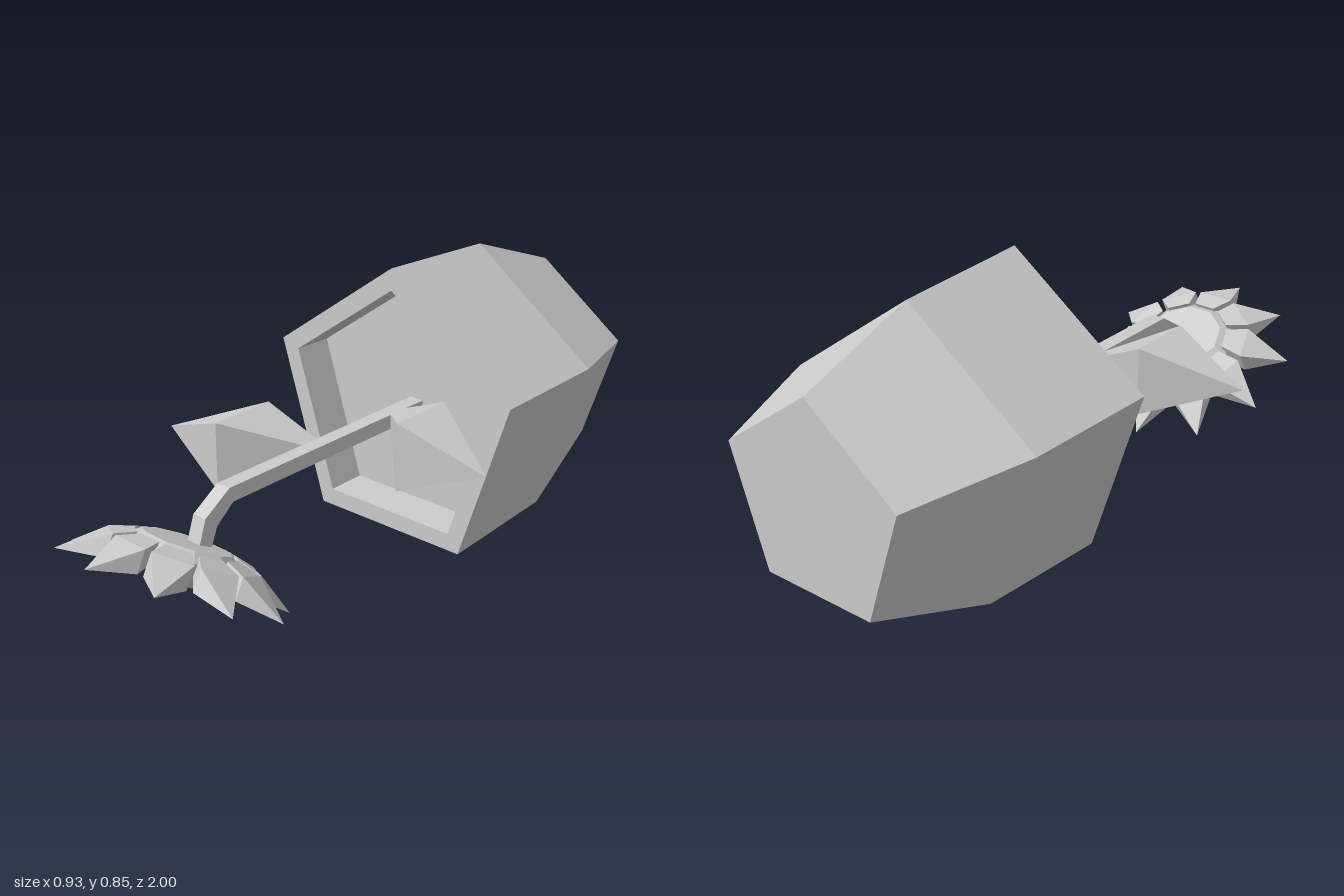
import * as THREE from 'three';
import { ConvexGeometry } from 'three/addons/geometries/ConvexGeometry.js';

const material = new THREE.MeshStandardMaterial({ color: 0xcccccc, flatShading: true });

function part(name, geometry) {
  const mesh = new THREE.Mesh(geometry, material);
  mesh.name = name;
  return mesh;
}

// Faceted turned shape from [radius, height] pairs
function turned(profile, sides, phase) {
  const points = profile.map(([r, h]) => new THREE.Vector2(r, h));
  return new THREE.LatheGeometry(points, sides, phase);
}

// Four corners of a rectangle at distance r, between +-w in x and d0..d1 in y
function petalSection(r, w, d0, d1) {
  return [[-w, d0], [w, d0], [w, d1], [-w, d1]].map(([x, y]) => new THREE.Vector3(x, y, r));
}

// Leaf on one side of the stem: narrow root, square middle, pointed tip
function leaf(name, side, z) {
  const section = (x, y0, y1, z0, z1) =>
    [[y0, z0], [y0, z1], [y1, z1], [y1, z0]].map(([y, dz]) => new THREE.Vector3(side * x, y, z + dz));
  return part(name, new ConvexGeometry([
    ...section(0.02, 0.352, 0.398, -0.13, -0.07),
    ...section(0.195, 0.26, 0.476, -0.108, 0.11),
    new THREE.Vector3(side * 0.467, 0.367, 0.04),
  ].map((p, i) => (i === 8 ? p.setZ(z + 0.04) : p))));
}

export function createModel() {
  const model = new THREE.Group();

  // Five-sided pot lying on its side, with rim and recessed soil
  const pot = part('pot', turned([
    [0, -1], [0.318, -1], [0.451, -0.63], [0.471, -0.2],
    [0.402, -0.2], [0.398, -0.33], [0, -0.33],
  ], 5, Math.PI).rotateX(Math.PI / 2));
  pot.position.y = 0.381;
  model.add(pot);

  // Square stem bending down at the flower
  const outline = [
    [-0.35, 0.352], [0.492, 0.352], [0.556, 0.3], [0.578, 0.245],
    [0.625, 0.26], [0.598, 0.338], [0.505, 0.398], [-0.35, 0.398],
  ].map(([z, y]) => new THREE.Vector2(z, y));
  const stem = new THREE.ExtrudeGeometry(new THREE.Shape(outline), { depth: 0.048, bevelEnabled: false });
  model.add(part('stem', stem.translate(0, 0, -0.024).rotateY(-Math.PI / 2)));

  // Leaves
  model.add(leaf('leftLeaf', 1, -0.11), leaf('rightLeaf', -1, 0.235));

  // Flower: local +y is its back, petals droop towards its face
  const flower = new THREE.Group();
  flower.name = 'flower';
  flower.position.set(0, 0.18, 0.698);
  flower.rotation.x = -0.487;
  model.add(flower);

  flower.add(part('flowerCentre', turned([
    [0, 0.005], [0.08, 0.005], [0.155, 0.05], [0.165, 0.085], [0.13, 0.113], [0, 0.113],
  ], 10, Math.PI / 10)));

  const petalGeometry = new ConvexGeometry([
    ...petalSection(0.145, 0.036, 0.05, 0.108),
    ...petalSection(0.21, 0.059, 0.02, 0.088),
    new THREE.Vector3(0, 0, 0.338),
  ]);
  for (let i = 0; i < 10; i++) {
    const petal = part('petal', petalGeometry);
    petal.rotation.y = (i * Math.PI) / 5;
    flower.add(petal);
  }
  return model;
}
